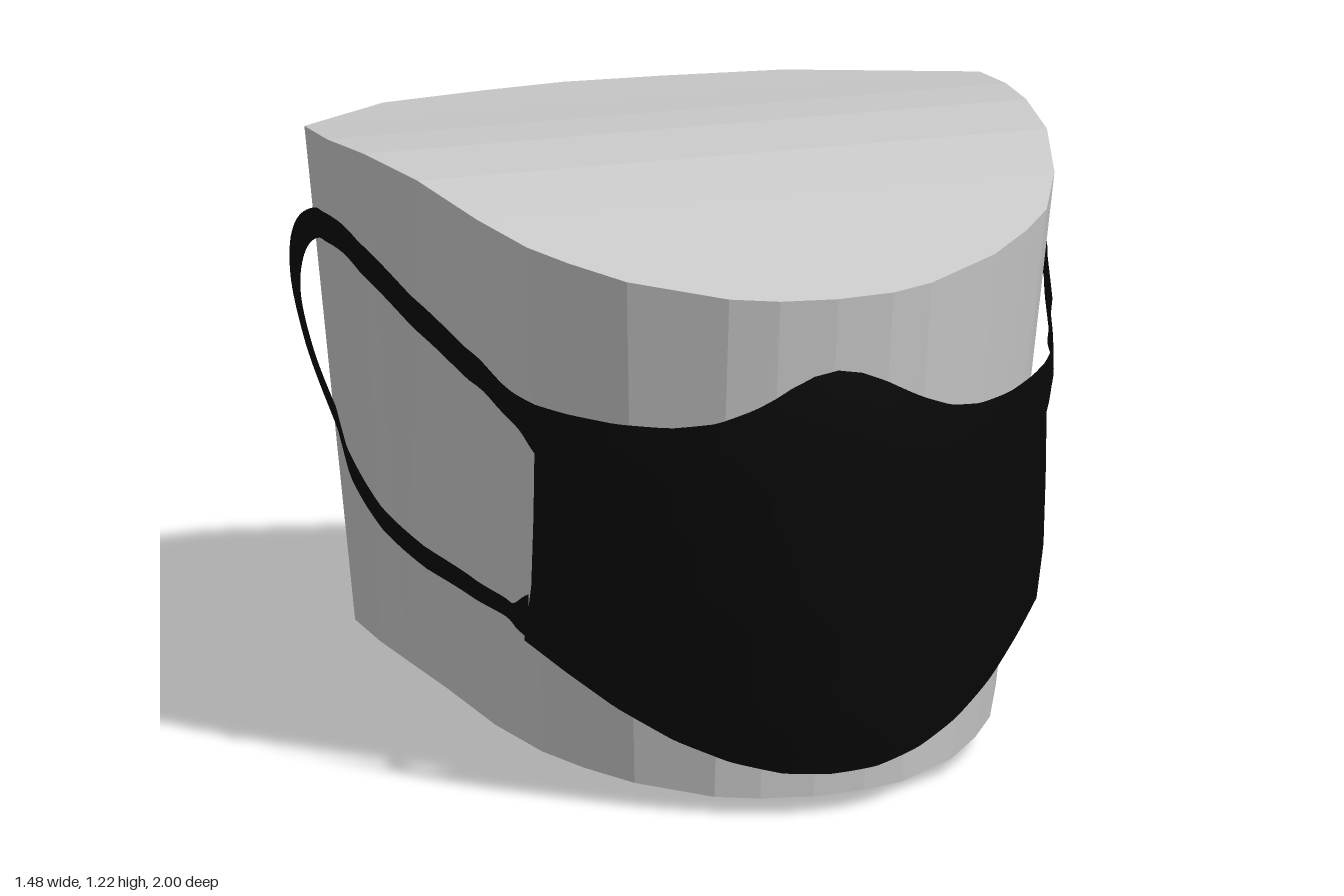
import * as THREE from 'three';

// Head outline, front to back: top right x,z, top left x,z, bottom right x,z, bottom left x,z
const OUTLINE = [
  [0, .94, 0, .94, 0, .77, 0, .77],
  [.12, .93, -.12, .93, .11, .76, -.11, .76],
  [.21, .90, -.22, .90, .20, .735, -.20, .735],
  [.38, .79, -.40, .78, .33, .65, -.34, .64],
  [.48, .69, -.49, .67, .41, .56, -.42, .55],
  [.55, .60, -.55, .58, .47, .47, -.48, .46],
  [.62, .43, -.61, .43, .53, .32, -.535, .32],
  [.67, .22, -.67, .22, .57, .13, -.58, .13],
  [.695, 0, -.715, 0, .585, -.06, -.60, -.06],
  [.715, -.2, -.73, -.2, .585, -.25, -.60, -.25],
  [.74, -.46, -.69, -.48, .58, -.55, -.56, -.55],
  [.41, -.74, -.44, -.74, .45, -.77, -.44, -.77],
  [.17, -.80, -.21, -.80, .18, -.93, -.21, -.94],
  [-.03, -.83, -.03, -.83, -.03, -1, -.03, -1],
];
// Heights of the curved top and bottom along z, and the mask's front profile (y, z)
const TOP = [[-.83, 1.1], [-.46, 1.155], [-.2, 1.2], [0, 1.22], [.2, 1.22], [.43, 1.185], [.94, 1.1]];
const BOTTOM = [[-1, 0], [-.77, .045], [-.55, .085], [-.25, .12], [0, .13], [.13, .12], [.77, .01]];
const NOSE = [[.09, .895], [.2, .93], [.45, .98], [.6, .995], [.75, 1.002], [.85, .992], [.9, .975], [.95, .94]];
// Mask edges seen from the front (x, y)
const UPPER = [[0, .95], [.05, .942], [.1, .922], [.18, .88], [.25, .85], [.33, .832], [.42, .826], [.5, .83], [.545, .837]];
const LOWER = [[0, .09], [.1, .095], [.2, .117], [.3, .155], [.4, .212], [.48, .272], [.545, .325]];
// Ear loop edges seen from the side (z, y)
const LOOP_OUT = [[.61, .837], [.55, .855], [.4, .91], [.2, .97], [0, 1.03], [-.13, 1.05], [-.3, 1.03], [-.42, .96],
  [-.49, .83], [-.45, .70], [-.35, .58], [-.2, .46], [0, .40], [.3, .365], [.45, .343], [.545, .325]];
const LOOP_IN = [[.62, .73], [.57, .785], [.4, .84], [.2, .90], [0, .96], [-.13, .985], [-.3, .965], [-.39, .90],
  [-.435, .81], [-.405, .70], [-.30, .59], [-.17, .505], [0, .45], [.3, .41], [.48, .387], [.58, .43]];

const { lerp, smoothstep } = THREE.MathUtils;

// Piecewise linear lookup
function at(table, v) {
  if (v <= table[0][0]) return table[0][1];
  for (let i = 1; i < table.length; i++) {
    const [a, p] = table[i - 1], [b, q] = table[i];
    if (v <= b) return lerp(p, q, (v - a) / (b - a));
  }
  return table[table.length - 1][1];
}

function meshFrom(name, positions, index, material) {
  const g = new THREE.BufferGeometry();
  g.setAttribute('position', new THREE.Float32BufferAttribute(positions, 3));
  g.setIndex(index);
  g.computeVertexNormals();
  const mesh = new THREE.Mesh(g, material);
  mesh.name = name;
  return mesh;
}

// Surface through rows of points
function sheet(name, rows, material) {
  const n = rows[0].length, index = [];
  for (let i = 0; i < rows.length - 1; i++)
    for (let j = 0; j < n - 1; j++) {
      const a = i * n + j, b = a + n;
      index.push(a, b, b + 1, a, b + 1, a + 1);
    }
  return meshFrom(name, rows.flat(2), index, material);
}

// Head block: lofted walls, caps laid in strips from side to side
function makeHead() {
  const last = OUTLINE.length - 1;
  const order = [];
  for (let i = 0; i <= last; i++) order.push([i, 0]);
  for (let i = last - 1; i > 0; i--) order.push([i, 2]);
  const n = order.length, pos = [], index = [];
  for (const [i, k] of order) pos.push(OUTLINE[i][k + 4], at(BOTTOM, OUTLINE[i][k + 5]), OUTLINE[i][k + 5]);
  for (const [i, k] of order) pos.push(OUTLINE[i][k], at(TOP, OUTLINE[i][k + 1]), OUTLINE[i][k + 1]);
  for (let i = 0; i < n; i++) {
    const j = (i + 1) % n;
    index.push(i, j, n + j, i, n + j, n + i);
  }
  for (let i = 0; i < last; i++) {
    const r = i, r2 = i + 1, l = (n - i) % n, l2 = n - i - 1;
    if (r2 !== l2) index.push(n + r, n + r2, n + l2, r, l2, r2);
    if (r !== l) index.push(n + r, n + l2, n + l, r, l, l2);
  }
  return meshFrom('head', pos, index, new THREE.MeshStandardMaterial({ color: 0xcccccc, flatShading: true }));
}

// Half width of the head at depth z and height y, the wider side
function headWidth(z, y) {
  z = Math.max(z, -.45);
  const h = (y - at(BOTTOM, z)) / (at(TOP, z) - at(BOTTOM, z));
  let width = 0;
  for (const k of [0, 2]) {
    const side = OUTLINE.slice(0, 11)
      .map((r) => [lerp(r[k + 5], r[k + 1], h), Math.abs(lerp(r[k + 4], r[k], h))]).reverse();
    width = Math.max(width, at(side, z));
  }
  return width;
}

// The front panel falls back as a parabola from the centre line
const bend = (y) => 1.3 + .6 * Math.max(0, .45 - y);
const panelZ = (x, y) => at(NOSE, y) - bend(y) * x * x;

function makePanel(material) {
  const rows = [];
  for (let i = -32; i <= 32; i++) {
    const x = .545 * i / 32, row = [];
    const low = at(LOWER, Math.abs(x)), high = at(UPPER, Math.abs(x));
    for (let j = 0; j <= 20; j++) {
      const y = lerp(low, high, j / 20);
      row.push([x, y, panelZ(x, y)]);
    }
    rows.push(row);
  }
  return sheet('maskPanel', rows, material);
}

// Ear loop: a flat band following the side of the head
function makeLoop(name, sign, material) {
  const curve = (pts) => new THREE.CatmullRomCurve3(pts.map(([z, y]) => new THREE.Vector3(0, y, z)));
  const outer = curve(LOOP_OUT), inner = curve(LOOP_IN), rows = [];
  for (let i = 0; i <= 120; i++) {
    const a = outer.getPoint(i / 120), b = inner.getPoint(i / 120), row = [];
    for (let j = 0; j <= 2; j++) {
      const p = a.clone().lerp(b, j / 2);
      const front = Math.sqrt(Math.max(0, at(NOSE, p.y) - p.z) / bend(p.y));
      const x = lerp(headWidth(p.z, p.y) + .027, front, smoothstep(p.z, .42, .6));
      row.push([sign * x, p.y, p.z]);
    }
    rows.push(row);
  }
  return sheet(name, rows, material);
}

export function createModel() {
  const model = new THREE.Group();
  model.name = 'maskedHead';
  const cloth = new THREE.MeshStandardMaterial({ color: 0x080808, side: THREE.DoubleSide });
  const mask = new THREE.Group();
  mask.name = 'faceMask';
  mask.add(makePanel(cloth), makeLoop('leftEarLoop', 1, cloth), makeLoop('rightEarLoop', -1, cloth));
  model.add(makeHead(), mask);
  return model;
}
